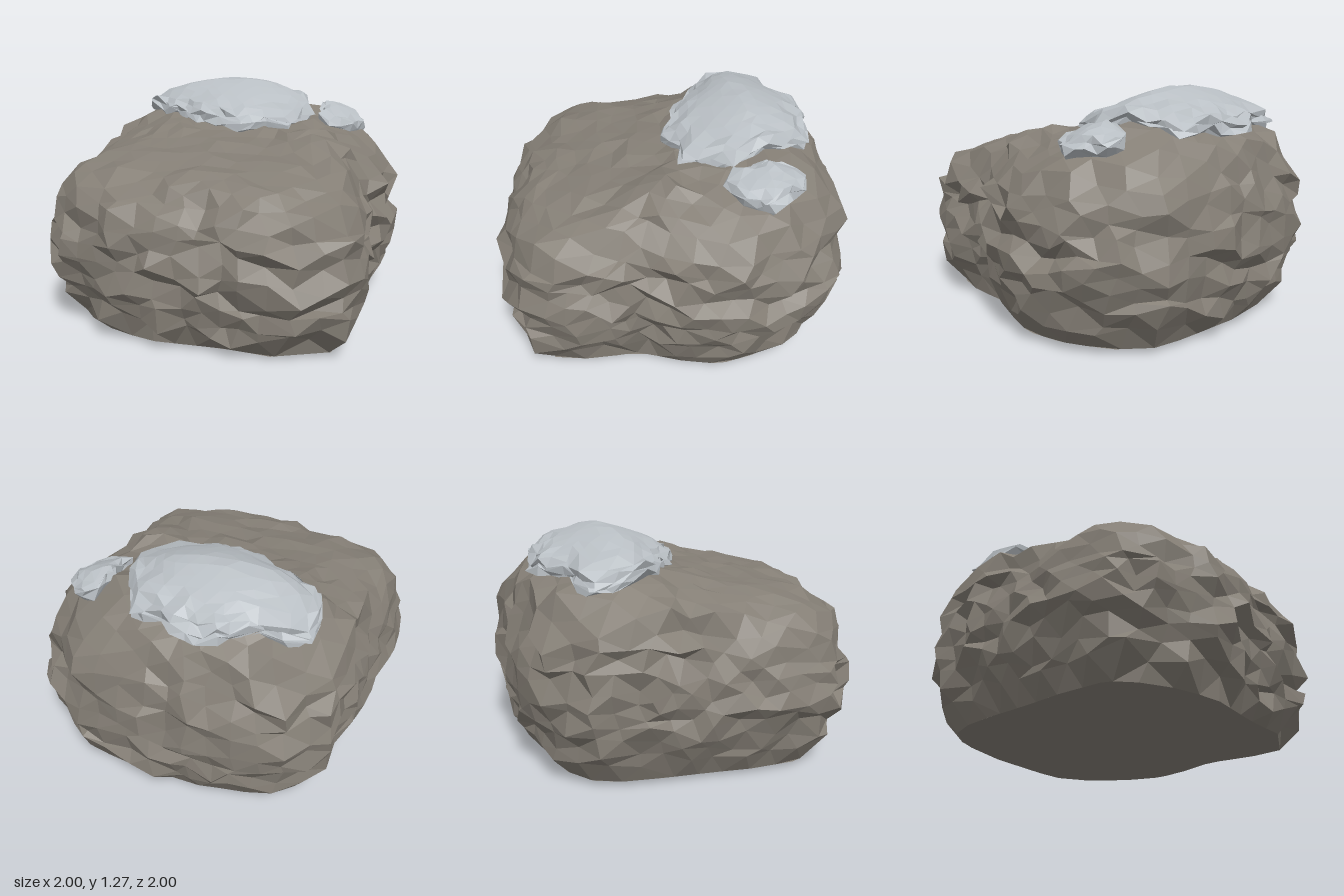
import * as THREE from 'three';
import { mergeVertices } from 'three/addons/utils/BufferGeometryUtils.js';

const { lerp, clamp, smoothstep } = THREE.MathUtils;

// Plan outlines as [x, z] corners
const ROCK = [[0, -1], [0.38, -0.95], [0.63, -0.91], [0.85, -0.7], [0.96, -0.42], [0.99, -0.15],
  [0.9, 0.1], [0.83, 0.23], [0.77, 0.27], [0.76, 0.5], [0.74, 0.7], [0.68, 0.9], [0.3, 0.99],
  [0.05, 0.92], [-0.43, 0.86], [-0.7, 0.75], [-0.9, 0.58], [-1, 0.43], [-0.95, 0.1],
  [-0.88, -0.15], [-0.81, -0.45], [-0.7, -0.82], [-0.43, -0.98]];
const CAP = [[-0.08, -0.86], [0.15, -0.78], [0.33, -0.72], [0.4, -0.5], [0.46, -0.25], [0.36, -0.12],
  [0.28, 0.07], [0.19, -0.05], [0.05, 0.02], [-0.1, -0.05], [-0.22, -0.1], [-0.3, -0.2],
  [-0.45, -0.3], [-0.6, -0.5], [-0.54, -0.74], [-0.3, -0.72], [-0.2, -0.78]];
const PATCH = [[0.58, -0.63], [0.69, -0.58], [0.79, -0.38], [0.68, -0.22], [0.49, -0.19], [0.52, -0.4]];

// Side profile: elevation, share of the outline, share of the top height
const PROFILE = [[-1, 0, 0], [-0.5, 0.84, 0.03], [-0.4, 0.91, 0.13], [-0.25, 0.96, 0.3],
  [-0.08, 1, 0.48], [0.1, 0.98, 0.68], [0.25, 0.95, 0.82], [0.36, 0.88, 0.94], [0.5, 0.72, 1], [1, 0, 1]];
// Height of the sloping top along z
const SLOPE = [[-1, 0.97], [-0.85, 1.06], [-0.45, 1.16], [-0.2, 1.09], [0, 1.03], [0.2, 0.99],
  [0.5, 0.94], [1, 0.87]];

function makeRandom(seed) {
  return () => (seed = (seed * 16807) % 2147483647) / 2147483647;
}

function sample(table, t, column) {
  let i = 1;
  while (i < table.length - 1 && t > table[i][0]) i++;
  const a = table[i - 1], b = table[i];
  return lerp(a[column], b[column], clamp((t - a[0]) / (b[0] - a[0]), 0, 1));
}

// Distance from a centre to the outline in direction (dx, dz)
function reach(outline, cx, cz, dx, dz) {
  let best = 0;
  outline.forEach(([x, z], i) => {
    const [x2, z2] = outline[(i + 1) % outline.length];
    const ex = x2 - x, ez = z2 - z, det = ex * dz - ez * dx;
    if (Math.abs(det) < 1e-9) return;
    const r = (ex * (z - cz) - ez * (x - cx)) / det;
    const u = (dx * (z - cz) - dz * (x - cx)) / det;
    if (r > 0 && u >= -1e-6 && u <= 1 + 1e-6) best = Math.max(best, r);
  });
  return best;
}

function topHeight(x, z) {
  const sideDrop = lerp(0.25, 0.06, smoothstep(z, -0.3, 0.4));
  const knob = 0.07 * Math.exp(-((x - 0.5) ** 2 + (z - 0.13) ** 2) / 0.03);
  return sample(SLOPE, z, 1) - sideDrop * x * x + knob;
}

// Faceted ball whose vertices are moved by a rule
function shapedBall(name, detail, color, rule) {
  let geometry = new THREE.IcosahedronGeometry(1, detail);
  geometry.deleteAttribute('normal');
  geometry.deleteAttribute('uv');
  geometry = mergeVertices(geometry, 1e-4);
  const pos = geometry.attributes.position, p = new THREE.Vector3();
  for (let i = 0; i < pos.count; i++) {
    p.fromBufferAttribute(pos, i).normalize();
    rule(p);
    pos.setXYZ(i, clamp(p.x, -1, 1), Math.max(p.y, 0), clamp(p.z, -1, 1));
  }
  geometry = geometry.toNonIndexed();
  geometry.computeVertexNormals();
  const mesh = new THREE.Mesh(geometry, new THREE.MeshStandardMaterial({ color, flatShading: true }));
  mesh.name = name;
  return mesh;
}

function boulder() {
  const random = makeRandom(4711);
  const jitter = (size) => (random() - 0.5) * 2 * size;
  return shapedBall('boulder', 8, 0x857f76, (p) => {
    let t = Math.asin(clamp(p.y, -1, 1)) / (Math.PI / 2);
    // Gather vertices on the rim of the flat base
    if (t > -0.6 && t < -0.43) t = -0.5;
    const flat = Math.hypot(p.x, p.z) || 1;
    const dx = p.x / flat, dz = p.z / flat;
    const r = reach(ROCK, 0, 0, dx, dz) * sample(PROFILE, t, 1);
    const x = dx * r, z = dz * r;
    const y = topHeight(x, z) * sample(PROFILE, t, 2);
    if (t <= -0.5) return p.set(x, y, z);
    // Chipped surface, calmer on the top
    const top = smoothstep(t, 0.3, 0.5);
    const chip = 1 + jitter(lerp(0.035, 0.01, top));
    return p.set(x * chip + jitter(0.025), y + jitter(lerp(0.035, 0.018, top)), z * chip + jitter(0.025));
  });
}

// Pale crust lying on the sloping top
function crust(name, outline, cx, cz, detail, thickness, seed) {
  const random = makeRandom(seed);
  const jitter = (size) => (random() - 0.5) * 2 * size;
  return shapedBall(name, detail, 0xb9bfc4, (p) => {
    const flat = Math.hypot(p.x, p.z) || 1;
    const r = reach(outline, cx, cz, p.x / flat, p.z / flat) * Math.min(1, flat * 1.02);
    const x = cx + (p.x / flat) * r, z = cz + (p.z / flat) * r;
    // Smooth in the middle, ragged along the border
    const rough = 0.022 * smoothstep(flat, 0.5, 0.95);
    const lift = p.y > 0 ? 0.025 + thickness * p.y : 0.025 + 0.13 * p.y;
    return p.set(x + jitter(rough), topHeight(x, z) + lift + jitter(rough), z + jitter(rough));
  });
}

export function createModel() {
  const group = new THREE.Group();
  group.name = 'rock';
  group.add(
    boulder(),
    crust('mainCrust', CAP, -0.05, -0.42, 5, 0.095, 97),
    crust('sideCrust', PATCH, 0.64, -0.4, 2, 0.04, 31),
  );
  return group;
}
